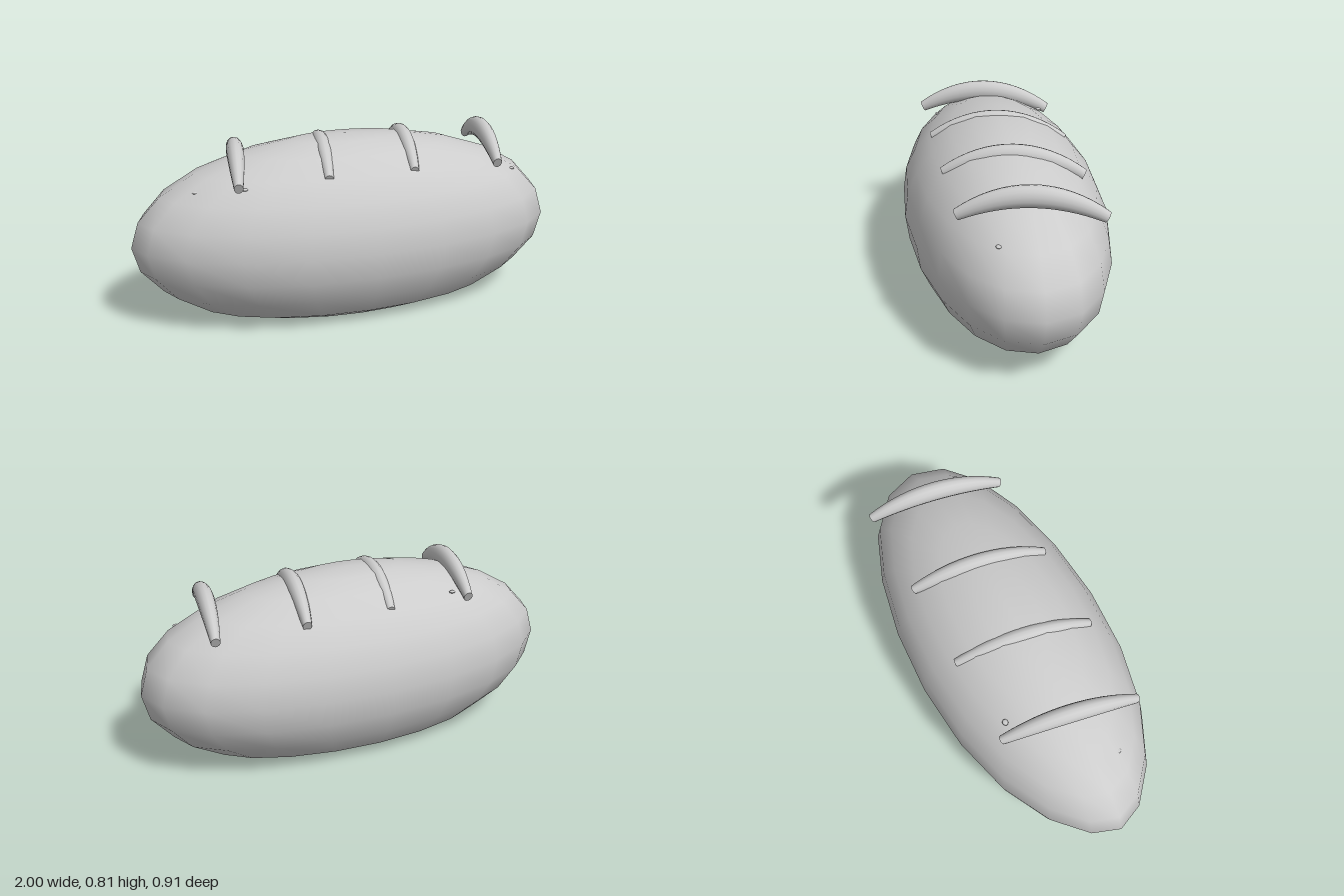
import * as THREE from 'three';
import { mergeVertices } from 'three/addons/utils/BufferGeometryUtils.js';

const crust = new THREE.MeshStandardMaterial({ color: 0xcccccc });
crust.name = 'crust grey';

// Stretched sphere with a flattened base; the +x end is blunter than the -x end
function loafGeometry() {
  let g = new THREE.SphereGeometry(1, 20, 12);
  g.deleteAttribute('uv');
  g.deleteAttribute('normal');
  g = mergeVertices(g, 1e-4);
  const p = g.attributes.position;
  for (let i = 0; i < p.count; i++) {
    const x = p.getX(i);
    const blunt = 1 + 0.15 * x ** 5;
    const y = 0.36 + 0.44 * p.getY(i) * (x > 0 ? 1 + 0.06 * x ** 3 : 1);
    p.setXYZ(i, x, Math.max(0, y), 0.455 * p.getZ(i) * blunt);
  }
  g.computeVertexNormals();
  return g;
}

// Arched roll, thick in the middle and thin at both ends
function ridgeGeometry() {
  const g = new THREE.CylinderGeometry(1, 1, 2, 14, 16).rotateX(Math.PI / 2);
  const p = g.attributes.position;
  for (let i = 0; i < p.count; i++) {
    const t = p.getZ(i);
    const r = 0.049 - 0.024 * t * t;
    const tilt = 0.45 * t;
    const up = p.getY(i) * r;
    p.setXYZ(i, p.getX(i) * r * 0.8,
      0.76 - 0.088 * t * t + up * Math.cos(tilt),
      0.305 * t + up * Math.sin(tilt));
  }
  g.computeVertexNormals();
  return g;
}

export function createModel() {
  const group = new THREE.Group();

  const loaf = new THREE.Mesh(loafGeometry(), crust);
  loaf.name = 'loaf';
  group.add(loaf);

  // Four slanted score ridges across the top
  const ridge = ridgeGeometry();
  [-0.52, -0.12, 0.28, 0.69].forEach((x, i) => {
    const m = new THREE.Mesh(ridge, crust);
    m.name = `scoreRidge${i + 1}`;
    m.position.x = x;
    m.rotation.y = -0.21;
    group.add(m);
  });

  // Small seeds barely breaking the surface
  const seed = new THREE.SphereGeometry(1, 10, 6).scale(0.015, 0.006, 0.013);
  [[-0.73, 0.62, 0.12], [-0.62, 0.66, 0.13], [-0.54, 0.645, 0.23],
    [0.78, 0.595, 0.15], [-0.4, 0.69, -0.25]].forEach(([x, y, z], i) => {
    const m = new THREE.Mesh(seed, crust);
    m.name = `seed${i + 1}`;
    m.position.set(x, y, z);
    group.add(m);
  });

  return group;
}
